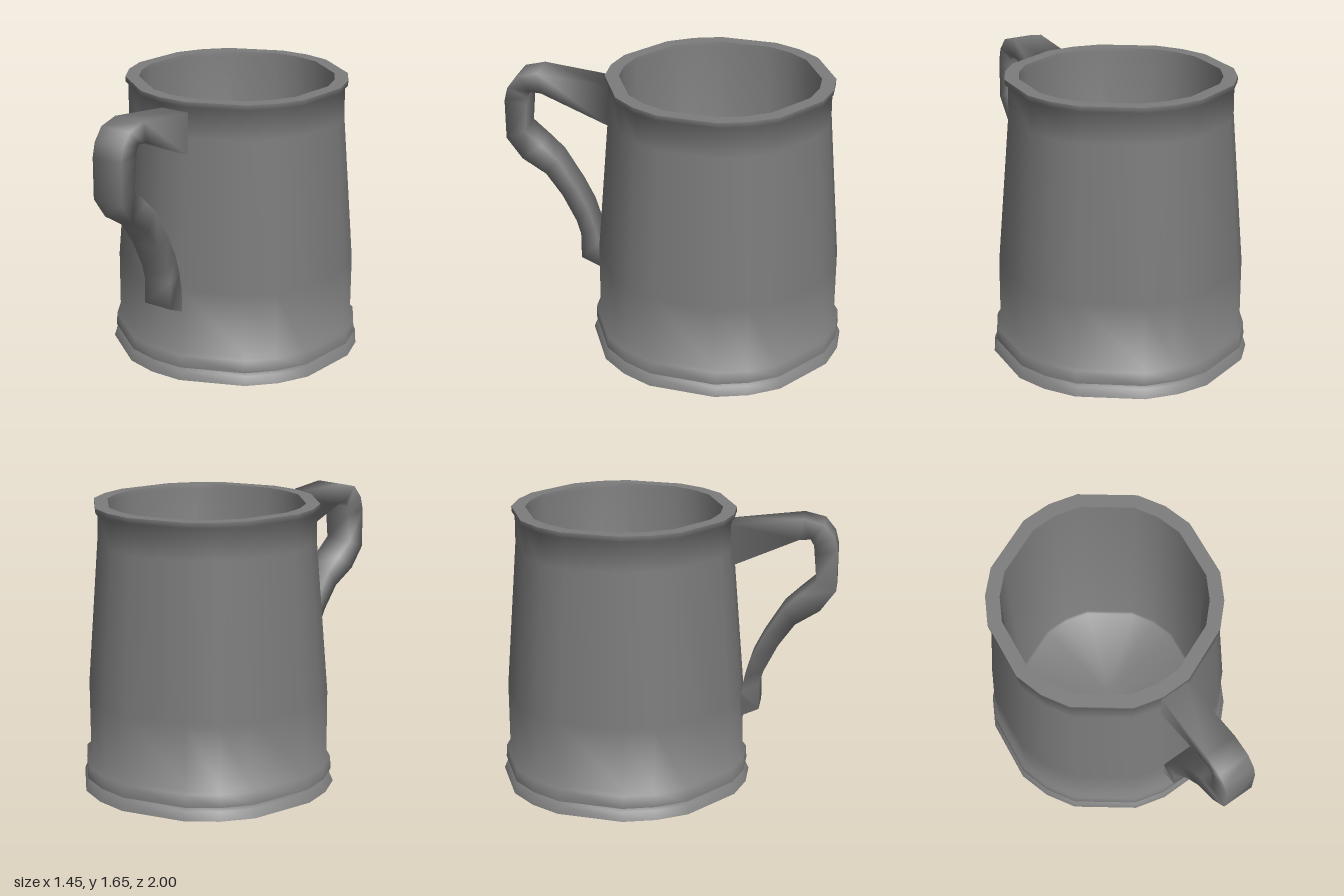
import * as THREE from 'three';
import { toCreasedNormals } from 'three/addons/utils/BufferGeometryUtils.js';

const material = new THREE.MeshStandardMaterial({ color: 0x7d7d7d });
const CENTRE_Z = -0.248;

// Revolved cup whose 18 sides step 15, 30, 15 degrees in turn
function cupGeometry(profile) {
  const points = profile.map(([r, y]) => new THREE.Vector2(r, y));
  const geometry = new THREE.LatheGeometry(points, 18);
  const position = geometry.attributes.position;
  for (let i = 0; i <= 18; i++) {
    const degrees = Math.floor(i / 3) * 60 + [0, 15, 45][i % 3];
    const angle = THREE.MathUtils.degToRad(degrees % 360);
    points.forEach((p, j) => position.setXYZ(
      i * points.length + j, p.x * Math.sin(angle), p.y, p.x * Math.cos(angle)));
  }
  return toCreasedNormals(geometry, 1.25);
}

// Four-sided smooth strap; each station is [outer z, outer y, inner z, inner y, half width]
function strapGeometry(stations) {
  const vertices = [], indices = [];
  stations.forEach(([oz, oy, iz, iy, w], i) => {
    vertices.push(w, oy, oz, -w, oy, oz, -w, iy, iz, w, iy, iz);
    if (i === stations.length - 1) return;
    for (let j = 0; j < 4; j++) {
      const a = i * 4 + j, b = i * 4 + (j + 1) % 4;
      indices.push(a, b, b + 4, a, b + 4, a + 4);
    }
  });
  const geometry = new THREE.BufferGeometry();
  geometry.setAttribute('position', new THREE.Float32BufferAttribute(vertices, 3));
  geometry.setIndex(indices);
  geometry.computeVertexNormals();
  // Both roots take the wall's normal, so the shading blends into the cup
  const normal = geometry.attributes.normal;
  for (let j = 0; j < 4; j++) {
    normal.setXYZ(j, 0, 0, 1);
    normal.setXYZ(normal.count - 1 - j, 0, 0, 1);
  }
  return geometry;
}

export function createModel() {
  const group = new THREE.Group();

  // Cup: foot, groove, base band, tapered wall, rim, then the inside and floor
  const cup = new THREE.Mesh(cupGeometry([
    [0, 0], [0.752, 0], [0.73, 0.05], [0.705, 0.065],
    [0.738, 0.075], [0.733, 0.15], [0.711, 0.165],
    [0.711, 0.55], [0.638, 1.44], [0.637, 1.61],
    [0.654, 1.625], [0.655, 1.655], [0.575, 1.655],
    [0.572, 1.63], [0.57, 0.17], [0.56, 0.15], [0, 0.15],
  ]), material);
  cup.name = 'cup';
  cup.position.z = CENTRE_Z;
  group.add(cup);

  // Handle: turned slightly about its root at the wall
  const rootZ = 0.4;
  const stations = [
    [0.37, 1.59, 0.38, 1.345, 0.086],
    [0.79, 1.642, 0.77, 1.52, 0.095], [0.91, 1.614, 0.835, 1.525, 0.095],
    [0.97, 1.54, 0.855, 1.49, 0.095], [0.99, 1.46, 0.86, 1.44, 0.095],
    [0.99, 1.225, 0.875, 1.275, 0.095], [0.9, 1.1, 0.78, 1.19, 0.094],
    [0.76, 1.01, 0.69, 1.105, 0.092], [0.665, 0.875, 0.575, 0.92, 0.09],
    [0.585, 0.715, 0.51, 0.79, 0.09], [0.56, 0.63, 0.47, 0.66, 0.09],
    [0.56, 0.47, 0.455, 0.575, 0.09], [0.44, 0.415, 0.44, 0.555, 0.09],
  ].map(([oz, oy, iz, iy, w]) => [oz - rootZ, oy, iz - rootZ, iy, w]);
  const handle = new THREE.Mesh(strapGeometry(stations), material);
  handle.name = 'handle';
  handle.position.set(0.087, 0, rootZ);
  handle.rotation.y = 0.12;
  group.add(handle);

  return group;
}
